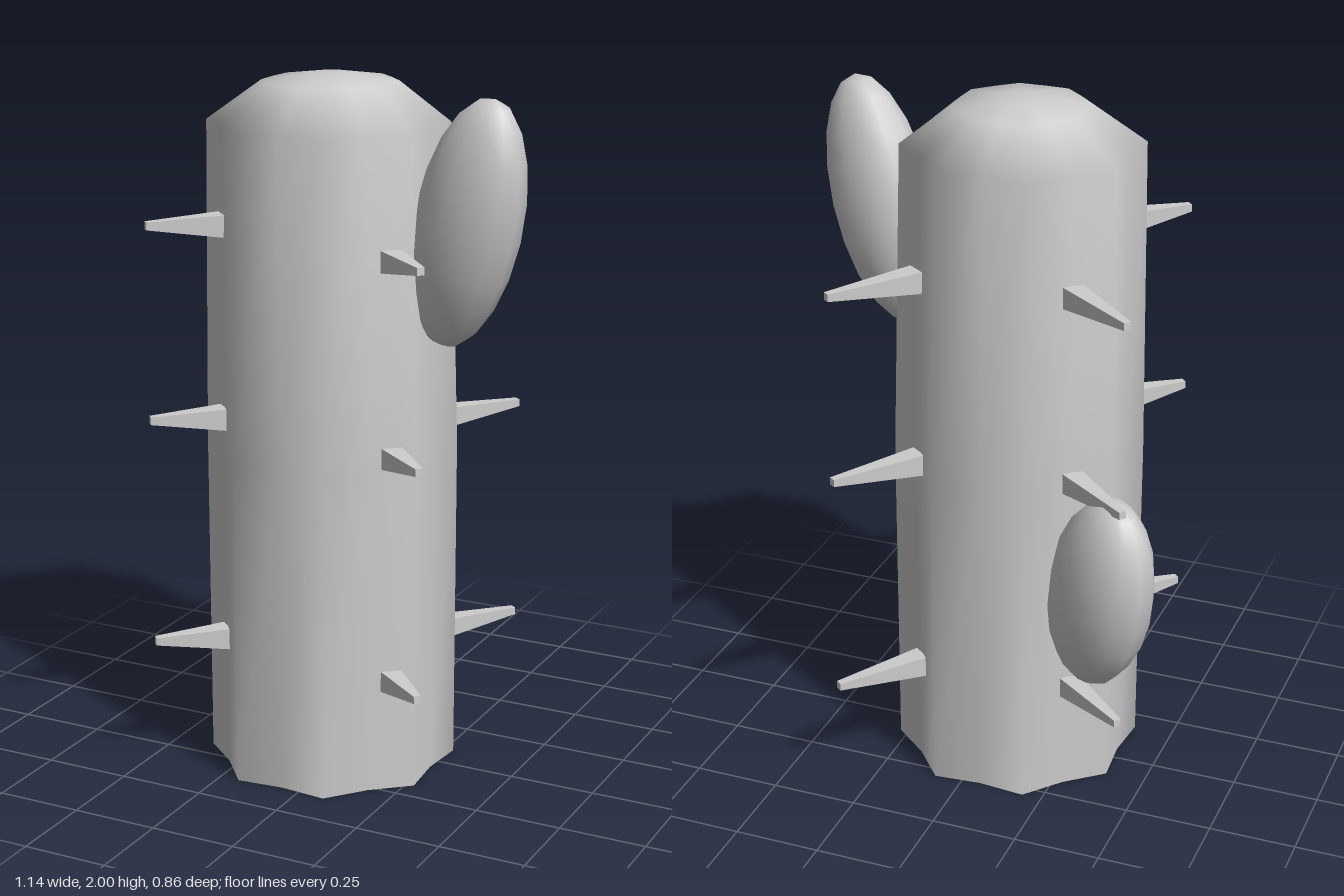
import * as THREE from 'three';

const material = new THREE.MeshStandardMaterial({ color: 0xcccccc });

// Eight-ribbed trunk, open at the bottom, with a domed cap
function trunkGeometry() {
  const sides = 16;
  // y, centre x, centre z, rib radius, groove factor
  const rings = [
    [0, -0.055, 0.045, 0.357, 0.89],
    [0.95, -0.055, 0.045, 0.357, 0.89],
    [1.87, -0.06, 0.052, 0.338, 0.9],
    [1.98, -0.057, 0.045, 0.19, 0.94],
    [2.0, -0.055, 0.045, 0.06, 1],
    [2.0, -0.055, 0.045, 0, 1],
  ];
  const positions = [];
  const indices = [];
  rings.forEach(([y, cx, cz, radius, groove], j) => {
    for (let i = 0; i < sides; i++) {
      const a = ((i + 1) / sides) * Math.PI * 2;
      const r = i % 2 ? radius * groove : radius;
      positions.push(cx + r * Math.cos(a), y, cz + r * Math.sin(a));
      if (j === rings.length - 1) continue;
      const p = j * sides + i;
      const q = j * sides + ((i + 1) % sides);
      indices.push(p, p + sides, q);
      if (j < rings.length - 2) indices.push(q, p + sides, q + sides);
    }
  });
  const geometry = new THREE.BufferGeometry();
  geometry.setAttribute('position', new THREE.Float32BufferAttribute(positions, 3));
  geometry.setIndex(indices);
  geometry.computeVertexNormals();
  return geometry;
}

// Flattened egg-shaped arm leaning outward along its heading
function makeArm(name, center, radii, lean, heading) {
  const geometry = new THREE.SphereGeometry(1, 12, 10);
  geometry.scale(...radii);
  geometry.rotateZ(-lean);
  geometry.rotateY(heading);
  const arm = new THREE.Mesh(geometry, material);
  arm.name = name;
  arm.position.set(...center);
  return arm;
}

// Tapered square spine from root to tip
function makeSpine(name, root, tip) {
  const length = root.distanceTo(tip);
  const geometry = new THREE.CylinderGeometry(0.015, 0.044, length, 4);
  geometry.rotateY(Math.PI / 4);
  geometry.rotateX(Math.PI / 2);
  geometry.translate(0, 0, length / 2);
  const spine = new THREE.Mesh(geometry.toNonIndexed(), spineMaterial);
  spine.name = name;
  spine.position.copy(root);
  spine.lookAt(tip);
  return spine;
}

const spineMaterial = material.clone();
spineMaterial.flatShading = true;

export function createModel() {
  const cactus = new THREE.Group();
  cactus.name = 'cactus';

  const trunkMaterial = material.clone();
  trunkMaterial.side = THREE.DoubleSide;
  const trunk = new THREE.Mesh(trunkGeometry(), trunkMaterial);
  trunk.name = 'trunk';
  cactus.add(trunk);

  // Arms
  cactus.add(
    makeArm('upperArm', [0.39, 1.63, 0.115], [0.165, 0.36, 0.12], 0.27, -0.35),
    makeArm('lowerArm', [-0.4, 0.69, -0.23], [0.186, 0.32, 0.125], 0.28, Math.PI - 0.67)
  );

  // Four columns of spines: root x, z; tip x, z; lift
  const columns = [
    ['frontLeftSpine', 0.21, 0.215, 0.355, 0.335, 0],
    ['backLeftSpine', 0.155, -0.2, 0.32, -0.425, 0],
    ['backRightSpine', -0.275, -0.155, -0.49, -0.325, 0],
    ['frontRightSpine', -0.28, 0.27, -0.43, 0.42, 0.065],
  ];
  for (const [name, rx, rz, tx, tz, lift] of columns) {
    const column = new THREE.Group();
    column.name = name + 's';
    for (const y of [0.33, 0.985, 1.535]) {
      const root = new THREE.Vector3(rx, y + lift - 0.002, rz);
      const tip = new THREE.Vector3(tx, y + lift + 0.008, tz);
      column.add(makeSpine(name, root, tip));
    }
    cactus.add(column);
  }
  return cactus;
}
